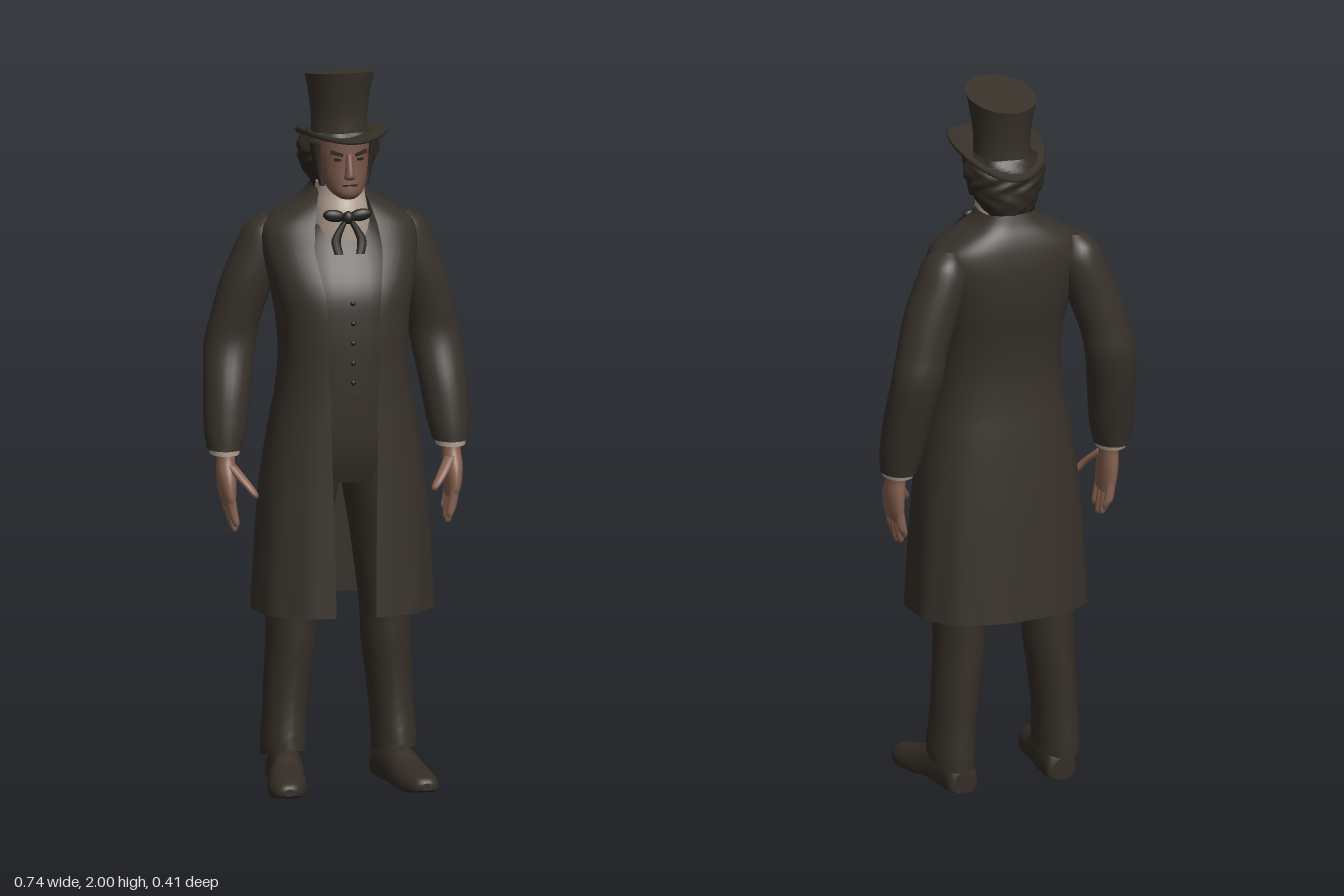
import * as THREE from 'three';

const mat = (name, color, side = THREE.FrontSide) => {
  const m = new THREE.MeshStandardMaterial({ color, side });
  m.name = name;
  return m;
};

// Resample numeric rows with a Catmull-Rom rule
function smooth(rows, n = 4) {
  const out = [];
  for (let i = 0; i < rows.length - 1; i++) {
    const a = rows[Math.max(i - 1, 0)], b = rows[i], c = rows[i + 1], d = rows[Math.min(i + 2, rows.length - 1)];
    for (let k = 0; k < n; k++) {
      const t = k / n;
      out.push(b.map((v, q) => {
        const cubic = 3 * (v - c[q]) + d[q] - a[q];
        const square = 2 * a[q] - 5 * v + 4 * c[q] - d[q];
        return v + 0.5 * t * (c[q] - a[q] + t * (square + t * cubic));
      }));
    }
  }
  out.push(rows[rows.length - 1]);
  return out;
}

// Skin a list of rings (each a list of [x, y, z])
function loft(rings, { closed = true, caps = true } = {}) {
  const n = rings[0].length, pos = rings.flat(2), idx = [];
  for (let i = 0; i < rings.length - 1; i++)
    for (let j = 0; j < (closed ? n : n - 1); j++) {
      const a = i * n + j, b = i * n + (j + 1) % n;
      idx.push(a, b, b + n, a, b + n, a + n);
    }
  if (closed && caps) for (const top of [false, true]) {
    const ring = top ? rings[rings.length - 1] : rings[0], s = pos.length / 3;
    const mid = [0, 1, 2].map(k => ring.reduce((t, p) => t + p[k], 0) / n);
    pos.push(...ring.flat(), ...mid);
    for (let j = 0; j < n; j++) {
      const a = s + j, b = s + (j + 1) % n;
      idx.push(s + n, top ? a : b, top ? b : a);
    }
  }
  const g = new THREE.BufferGeometry();
  g.setAttribute('position', new THREE.Float32BufferAttribute(pos, 3));
  g.setIndex(idx);
  g.computeVertexNormals();
  return g;
}

const pw = (v, e) => Math.sign(v) * Math.abs(v) ** e;

// Upright body from rows [y, cx, cz, rx, rz, tilt], lowest first
function body(rows, { seg = 28, e = 1, n = 4, bump = 0 } = {}) {
  const full = rows.map(([y, cx, cz, rx, rz, tilt = 0]) => [y, cx, cz, rx, rz, tilt]);
  return loft(smooth(full, n).map(([y, cx, cz, rx, rz, tilt]) =>
    Array.from({ length: seg }, (_, j) => {
      const t = j / seg * Math.PI * 2, f = 1 + bump * Math.sin(7 * t + 3 * Math.sin(y * 70));
      const dz = rz * f * pw(Math.cos(t), e);
      return [cx + rx * f * pw(Math.sin(t), e), y + tilt * dz, cz + dz];
    })));
}

// Coat rows: y, half width, front z, back z, half opening
const E = 0.8;
const coatRows = smooth([
  [0.50, 0.25, 0.18, -0.195, 0.055], [0.80, 0.233, 0.17, -0.18, 0.06], [1.0, 0.205, 0.165, -0.165, 0.065],
  [1.1, 0.186, 0.162, -0.155, 0.065], [1.2, 0.176, 0.16, -0.152, 0.07], [1.3, 0.18, 0.157, -0.162, 0.07],
  [1.4, 0.196, 0.142, -0.18, 0.08], [1.5, 0.215, 0.085, -0.187, 0.095], [1.56, 0.208, 0.055, -0.182, 0.09],
  [1.6, 0.16, 0.037, -0.172, 0.08], [1.635, 0.1, 0.018, -0.157, 0.07], [1.665, 0.078, 0.0, -0.147, 0.06]]);

function coatAt(y) {
  let i = 0;
  while (i < coatRows.length - 2 && coatRows[i + 1][0] < y) i++;
  const a = coatRows[i], b = coatRows[i + 1], t = (y - a[0]) / (b[0] - a[0]);
  return a.map((v, k) => v + (b[k] - v) * t);
}

function coatGeometry() {
  const seg = 72;
  return loft(coatRows.map(([y, w, zf, zb, gap]) => {
    const t0 = Math.asin((gap / w) ** (1 / E)), sway = Math.max(0, 0.95 - y) * 0.028;
    return Array.from({ length: seg + 1 }, (_, j) => {
      const t = t0 + (2 * Math.PI - 2 * t0) * j / seg, f = 1 + sway * Math.sin(11 * t);
      return [w * f * pw(Math.sin(t), E), y, (zf + zb) / 2 + (zf - zb) / 2 * f * pw(Math.cos(t), E)];
    });
  }), { closed: false });
}

// Thin piece laid on the coat front, rows [y, inner x, outer x]
function patch(rows, side, lift) {
  return loft(smooth(rows, 3).map(([y, x0, x1]) => {
    const [, w, zf, zb] = coatAt(y);
    return Array.from({ length: 7 }, (_, j) => {
      const x = x0 + (x1 - x0) * j / 6, s = Math.min(1, (x / w) ** (1 / E));
      return [side * x, y, (zf + zb) / 2 + (zf - zb) / 2 * (1 - s * s) ** (E / 2) + lift];
    });
  }), { closed: false });
}

// Brim rows: share of the full radius, height offset
function brimGeometry() {
  const rows = [[0.2, -0.008], [0.6, -0.008], [0.97, -0.007], [1, 0], [0.97, 0.007], [0.6, 0.004], [0.2, 0.004]];
  return loft(rows.map(([s, dy]) =>
    Array.from({ length: 48 }, (_, j) => {
      const t = j / 48 * Math.PI * 2, z = -0.007 + 0.173 * s * Math.cos(t);
      return [0.127 * s * Math.sin(t), 1.802 + dy + 0.145 * z + 0.036 * (s * Math.sin(t)) ** 2, z];
    })), { caps: false });
}

// Shoe rows: z, centre x, half width, sole y, top y
function shoeGeometry(side) {
  const rows = smooth([
    [0.207, 0.192, 0.015, 0.016, 0.036], [0.19, 0.19, 0.038, 0.008, 0.05], [0.14, 0.183, 0.053, 0, 0.062],
    [0.08, 0.173, 0.054, 0, 0.078], [0.02, 0.16, 0.049, 0.004, 0.105], [-0.05, 0.15, 0.048, 0, 0.11],
    [-0.115, 0.146, 0.045, 0, 0.09], [-0.13, 0.146, 0.03, 0, 0.06]]);
  return loft(rows.map(([z, cx, w, lo, hi]) =>
    Array.from({ length: 24 }, (_, j) => {
      const t = j / 24 * Math.PI * 2, c = Math.cos(t), base = Math.max(0, lo), m = base + (hi - base) * 0.3;
      return [side * cx + w * pw(Math.sin(t), 0.8), c > 0 ? m + (hi - m) * c : m + (m - base) * pw(c, 0.4), z];
    })));
}

export function createModel() {
  const group = new THREE.Group();
  const M = {
    coat: mat('coat cloth', 0x37312a, THREE.DoubleSide), trousers: mat('trouser cloth', 0x352f27),
    hat: mat('hat felt', 0x39332a), hair: mat('dark hair', 0x2d2720), skin: mat('hand skin', 0x85604f),
    face: mat('face skin', 0x765448), shirt: mat('shirt linen', 0xb0a092), dark: mat('dark silk', 0x231f1a),
    shoe: mat('shoe leather', 0x332c24),
  };
  const add = (name, geo, m, x = 0, y = 0, z = 0) => {
    const mesh = new THREE.Mesh(geo, m);
    mesh.name = name;
    mesh.position.set(x, y, z);
    group.add(mesh);
    return mesh;
  };
  const ball = (name, m, p, s) => {
    const b = add(name, new THREE.SphereGeometry(1, 16, 10), m, ...p);
    b.scale.set(...s);
    return b;
  };

  // Hat
  add('hatCrown', body([[1.815, 0, -0.045, 0.077, 0.086, 0.16], [1.86, 0, -0.045, 0.077, 0.087, 0.16],
    [1.92, 0, -0.043, 0.083, 0.098, 0.16], [1.982, 0, -0.042, 0.094, 0.114, 0.16]], { seg: 40 }), M.hat);
  add('hatBrim', brimGeometry(), M.hat);

  // Head and face
  add('head', body([[1.652, 0, 0.06, 0.022, 0.03], [1.668, 0, 0.043, 0.044, 0.058], [1.70, 0, 0.018, 0.06, 0.08],
    [1.74, 0, 0, 0.068, 0.093], [1.78, 0, -0.01, 0.072, 0.1], [1.81, 0, -0.012, 0.072, 0.1]], { e: 0.9 }), M.face);
  add('nose', body([[1.707, 0, 0.092, 0.01, 0.008], [1.714, 0, 0.095, 0.016, 0.018], [1.73, 0, 0.094, 0.013, 0.018],
    [1.778, 0, 0.086, 0.009, 0.009]], { seg: 14 }), M.face);
  add('mouth', new THREE.BoxGeometry(0.042, 0.005, 0.008), M.dark, 0, 1.692, 0.095);
  add('hair', body([[1.645, 0, -0.1, 0.05, 0.04], [1.69, 0, -0.085, 0.083, 0.068], [1.74, 0, -0.068, 0.107, 0.086],
    [1.785, 0, -0.062, 0.112, 0.09], [1.82, 0, -0.06, 0.085, 0.075]], { bump: 0.035, seg: 48, n: 6 }), M.hair);

  // Collar, waistcoat, bow
  add('shirtCollar', body([[1.53, 0, -0.02, 0.085, 0.085], [1.6, 0, -0.025, 0.075, 0.09], [1.65, 0, -0.035, 0.068, 0.08],
    [1.682, 0, -0.035, 0.066, 0.074]]), M.shirt);
  add('waistcoat', body([[1.11, 0, 0, 0.16, 0.142], [1.2, 0, 0, 0.155, 0.143], [1.3, 0, 0, 0.16, 0.14],
    [1.4, 0, -0.02, 0.17, 0.146], [1.5, 0, -0.05, 0.16, 0.122], [1.57, 0, -0.07, 0.11, 0.105]], { e: E }), M.trousers);
  for (let i = 0; i < 5; i++) ball('waistcoatButton', M.dark, [0, 1.15 + i * 0.055, i > 3 ? 0.137 : 0.142], [0.007, 0.007, 0.005]);
  ball('bowKnot', M.dark, [0, 1.598, 0.074], [0.016, 0.018, 0.014]);

  // Coat and hips
  add('coat', coatGeometry(), M.coat);
  add('trouserTop', body([[0.86, 0, -0.02, 0.12, 0.1], [0.95, 0, -0.01, 0.165, 0.115], [1.13, 0, -0.01, 0.155, 0.125]], { e: E }), M.trousers);

  for (const s of [1, -1]) {
    const side = s > 0 ? 'left' : 'right';
    const part = (name, rows, m, o) => add(side + name, body(rows.map(([y, x, ...r]) => [y, s * x, ...r]), o), m);

    // Face and bow details
    const brow = add(side + 'Brow', new THREE.BoxGeometry(0.036, 0.009, 0.012), M.hair, s * 0.033, 1.779, 0.081);
    brow.rotation.set(0, s * 0.3, s * 0.25);
    const eye = add(side + 'Eye', new THREE.BoxGeometry(0.02, 0.007, 0.008), M.dark, s * 0.031, 1.762, 0.081);
    eye.rotation.y = s * 0.3;
    part('Sideburn', [[1.68, 0.06, 0.018, 0.008, 0.012], [1.72, 0.068, 0.008, 0.011, 0.02], [1.8, 0.078, 0.005, 0.016, 0.03]], M.hair, { seg: 12 });
    ball(side + 'BowLoop', M.dark, [s * 0.037, 1.602, 0.064], [0.032, 0.017, 0.013]).rotation.z = s * 0.15;
    part('BowTail', [[1.5, 0.03, 0.094, 0.012, 0.006], [1.54, 0.035, 0.083, 0.013, 0.007], [1.59, 0.008, 0.073, 0.008, 0.008]], M.dark, { seg: 12 });

    // Lapel and pocket flap
    add(side + 'Lapel', patch([[1.3, 0.07, 0.074], [1.4, 0.079, 0.108], [1.49, 0.093, 0.143], [1.52, 0.094, 0.147],
      [1.535, 0.092, 0.122], [1.58, 0.086, 0.122], [1.62, 0.073, 0.09]], s, 0.008), M.coat);
    add(side + 'PocketFlap', patch([[1.02, 0.13, 0.19], [1.06, 0.13, 0.185]], s, 0.008), M.coat);

    // Sleeve, cuff, hand
    part('Sleeve', [[0.94, 0.316, -0.068, 0.048, 0.06], [1.0, 0.311, -0.078, 0.059, 0.066], [1.1, 0.302, -0.1, 0.065, 0.072],
      [1.22, 0.287, -0.132, 0.071, 0.069], [1.3, 0.27, -0.128, 0.07, 0.07], [1.4, 0.24, -0.118, 0.074, 0.075],
      [1.5, 0.205, -0.112, 0.069, 0.073], [1.55, 0.198, -0.108, 0.05, 0.06], [1.577, 0.188, -0.105, 0.025, 0.03]], M.coat);
    part('Cuff', [[0.926, 0.316, -0.063, 0.04, 0.05], [0.95, 0.316, -0.067, 0.043, 0.054]], M.shirt, { n: 1 });
    part('Palm', [[0.79, 0.31, -0.032, 0.016, 0.048], [0.82, 0.315, -0.032, 0.022, 0.054], [0.87, 0.317, -0.038, 0.026, 0.05],
      [0.91, 0.316, -0.05, 0.025, 0.036], [0.945, 0.316, -0.06, 0.025, 0.036]], M.skin);
    for (let i = 0; i < 4; i++) {
      const z = 0.006 - i * 0.026, low = [0.735, 0.717, 0.722, 0.745][i];
      part('Finger', [[low, 0.298, z + 0.004, 0.005, 0.006], [low + 0.012, 0.3, z + 0.003, 0.01, 0.011],
        [0.775, 0.307, z, 0.013, 0.013], [0.82, 0.314, z, 0.013, 0.013]], M.skin, { seg: 12 });
    }
    part('Thumb', [[0.818, 0.25, 0.036, 0.006, 0.006], [0.83, 0.255, 0.033, 0.012, 0.012], [0.86, 0.277, 0.016, 0.015, 0.015],
      [0.9, 0.308, -0.025, 0.017, 0.02]], M.skin, { seg: 12 });

    // Trouser leg and shoe
    part('TrouserLeg', [[0.085, 0.155, -0.053, 0.06, 0.096, 0.22], [0.12, 0.155, -0.055, 0.061, 0.094, 0.2], [0.2, 0.15, -0.058, 0.06, 0.088, 0.1],
      [0.3, 0.142, -0.06, 0.064, 0.088], [0.4, 0.133, -0.057, 0.068, 0.092], [0.5, 0.13, -0.055, 0.07, 0.094],
      [0.7, 0.115, -0.045, 0.083, 0.1], [0.85, 0.098, -0.03, 0.092, 0.11], [1.0, 0.085, -0.02, 0.085, 0.11]], M.trousers, { bump: 0.008 });
    add(side + 'Shoe', shoeGeometry(s), M.shoe);
  }
  return group;
}
